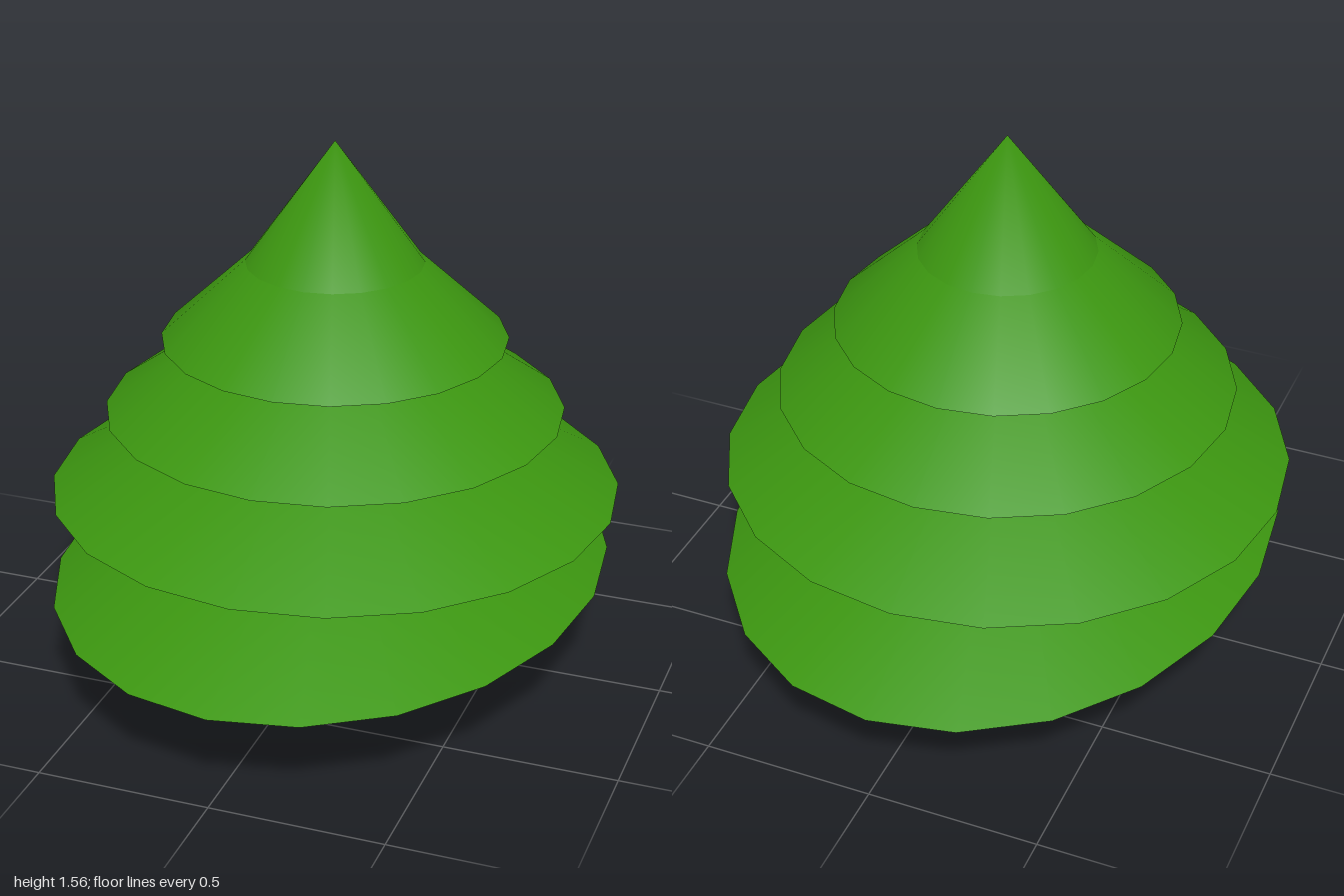
import * as THREE from 'three';
import { mergeVertices } from 'three/addons/utils/BufferGeometryUtils.js';

const SIDES = 20;
const TIER_HEIGHT = 0.465;

// One foliage tier: a smooth cone (tip normal averaged) with a flat underside
function makeTier(name, rx, rz, baseY, material) {
  const tier = new THREE.Group();
  tier.name = name;
  tier.position.y = baseY;

  let cone = new THREE.ConeGeometry(1, TIER_HEIGHT, SIDES, 1, true);
  cone.deleteAttribute('uv');
  cone.deleteAttribute('normal');
  cone = mergeVertices(cone);
  cone.scale(rx, 1, rz).translate(0, TIER_HEIGHT / 2, 0);
  cone.computeVertexNormals();
  const slope = new THREE.Mesh(cone, material);
  slope.name = name + 'Slope';

  const disc = new THREE.CircleGeometry(1, SIDES);
  disc.rotateX(Math.PI / 2).scale(rx, 1, rz);
  const underside = new THREE.Mesh(disc, material);
  underside.name = name + 'Underside';

  tier.add(slope, underside);
  return tier;
}

export function createModel() {
  const tree = new THREE.Group();
  tree.name = 'tree';
  const green = new THREE.MeshStandardMaterial({ color: 0x3c9610 });
  const red = new THREE.MeshStandardMaterial({ color: 0x8f0f10 });

  // Trunk
  const trunkHeight = 0.3;
  const trunk = new THREE.Mesh(new THREE.CylinderGeometry(0.2, 0.2, trunkHeight, SIDES), red);
  trunk.name = 'trunk';
  trunk.position.y = trunkHeight / 2;
  tree.add(trunk);

  // Foliage from bottom to top: radius in x, radius in z, base height
  const tiers = [
    ['bottomTier', 0.793, 1, 0.273],
    ['lowerTier', 0.83, 0.83, 0.515],
    ['middleTier', 0.664, 0.664, 0.758],
    ['upperTier', 0.498, 0.498, 0.975],
    ['treeTip', 0.333, 0.333, 1.093],
  ];
  for (const [name, rx, rz, y] of tiers) tree.add(makeTier(name, rx, rz, y, green));

  return tree;
}
